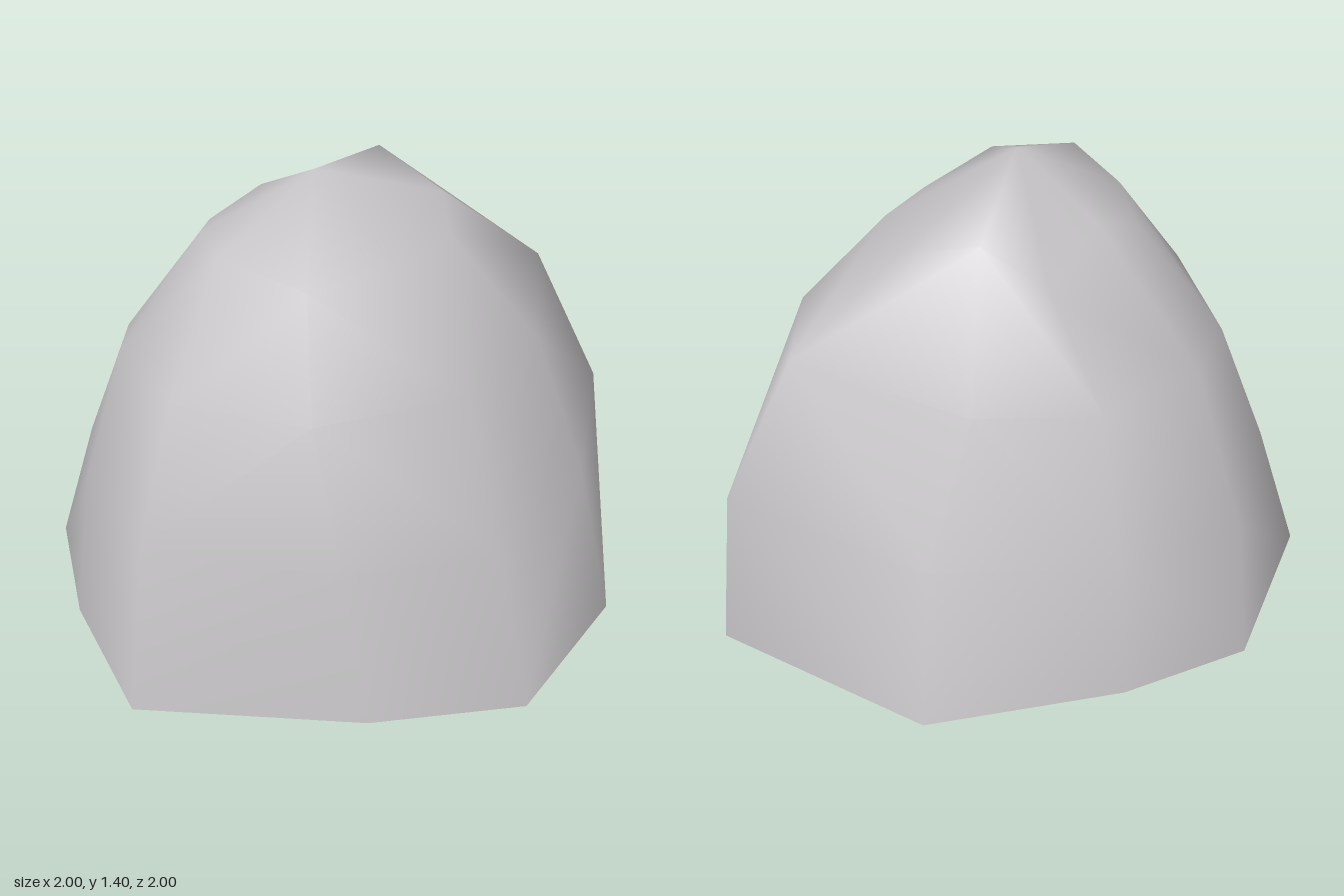
import * as THREE from 'three';

// Cross-sections of the boulder from the ground up; each runs +x -> +z -> -x -> -z.
const baseRing = [
  [1.0, 0, 0.24], [0.52, 0, 0.74], [-0.07, 0, 1.0], [-0.49, 0, 0.8], [-1.0, 0, 0.35],
  [-0.88, 0, -0.24], [-0.67, 0, -0.79], [-0.1, 0, -1.0], [0.3, 0, -0.84], [0.82, 0, -0.49],
];
const lowerRing = [
  [0.945, 0.55, 0.21], [0.47, 0.46, 0.64], [-0.05, 0.42, 0.84], [-0.52, 0.44, 0.72], [-0.93, 0.5, 0.33],
  [-0.83, 0.46, -0.22], [-0.6, 0.42, -0.66], [-0.1, 0.46, -0.93], [0.28, 0.46, -0.78], [0.71, 0.48, -0.41],
];
const upperRing = [
  [0.75, 1.0, 0.1], [0.38, 0.89, 0.5], [-0.05, 0.85, 0.68], [-0.55, 0.86, 0.62], [-0.79, 0.87, 0.27],
  [-0.7, 0.88, -0.19], [-0.5, 0.82, -0.53], [-0.13, 0.91, -0.71], [0.22, 0.9, -0.64], [0.52, 0.93, -0.41],
];
const crownRing = [
  [0.4, 1.25, 0.0], [0.2, 1.2, 0.28], [-0.06, 1.17, 0.38], [-0.44, 1.17, 0.44], [-0.56, 1.23, 0.17],
  [-0.45, 1.22, -0.12], [-0.31, 1.2, -0.3], [-0.1, 1.28, -0.32], [0.2, 1.2, -0.41], [0.35, 1.36, -0.28],
];
const peak = [-0.13, 1.4, 0.03];

// Joins the rings with quads and closes the top with a fan; the underside is open.
// Each quad is split along the diagonal that bulges outward.
function loft(rings, tip) {
  const n = rings[0].length;
  const points = [...rings.flat(), tip];
  const at = (i) => new THREE.Vector3(...points[i]);
  const index = [];
  for (let r = 0; r < rings.length; r++) {
    for (let j = 0; j < n; j++) {
      const a = r * n + j, b = r * n + (j + 1) % n;
      if (r === rings.length - 1) {
        index.push(a, rings.length * n, b);
        continue;
      }
      const c = a + n, d = b + n;
      const plane = new THREE.Plane().setFromCoplanarPoints(at(a), at(c), at(b));
      if (plane.distanceToPoint(at(d)) <= 0) index.push(a, c, b, b, c, d);
      else index.push(a, c, d, a, d, b);
    }
  }
  const geometry = new THREE.BufferGeometry();
  geometry.setAttribute('position', new THREE.Float32BufferAttribute(points.flat(), 3));
  geometry.setIndex(index);
  geometry.computeVertexNormals();
  return geometry;
}

export function createModel() {
  const stone = new THREE.MeshStandardMaterial({ color: 0xc8c6c8, side: THREE.DoubleSide });
  stone.name = 'grey stone';

  const boulder = new THREE.Mesh(loft([baseRing, lowerRing, upperRing, crownRing], peak), stone);
  boulder.name = 'boulder';

  const group = new THREE.Group();
  group.name = 'rock';
  group.add(boulder);
  return group;
}
